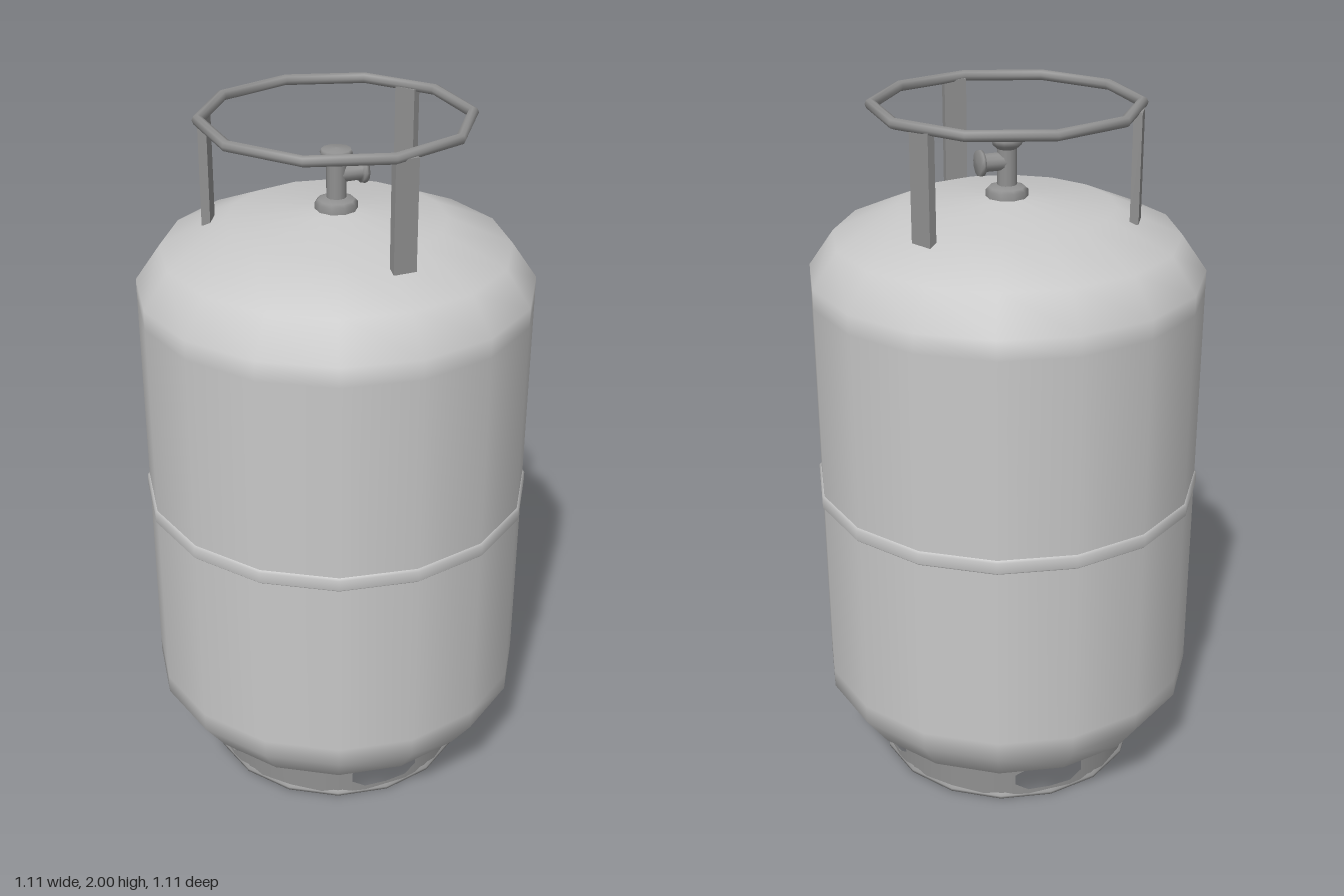
import * as THREE from 'three';

const bodyPaint = new THREE.MeshStandardMaterial({ color: 0xc8c8c8 });
bodyPaint.name = 'light grey paint';
const steel = new THREE.MeshStandardMaterial({ color: 0x909090 });
steel.name = 'grey steel';
const sheetSteel = new THREE.MeshStandardMaterial({ color: 0x909090, side: THREE.DoubleSide });
sheetSteel.name = 'grey steel sheet';

function add(parent, name, geometry, material) {
  const mesh = new THREE.Mesh(geometry, material);
  mesh.name = name;
  parent.add(mesh);
  return mesh;
}

// Profile points run [radius, height], bottom to top
const lathe = (points, sides) =>
  new THREE.LatheGeometry(points.map(([r, y]) => new THREE.Vector2(r, y)), sides);

// Round foot wall with four octagonal openings, built in vertical columns
function footWall(radius, height) {
  const mid = 0.062;
  // angle in degrees from the opening's centre, half height of the opening
  const columns = [[-45, 0], [-30, 0], [-16, 0.016], [-10, 0.038], [0, 0.038],
    [10, 0.038], [16, 0.016], [30, 0], [45, 0]];
  const positions = [], normals = [], index = [];
  const quad = (a0, a1, low0, low1, high0, high1) => {
    const n = positions.length / 3;
    for (const [a, y] of [[a0, low0], [a1, low1], [a1, high1], [a0, high0]]) {
      positions.push(radius * Math.sin(a), y, radius * Math.cos(a));
      normals.push(Math.sin(a), 0, Math.cos(a));
    }
    index.push(n, n + 1, n + 2, n, n + 2, n + 3);
  };
  for (let q = 0; q < 4; q++) {
    for (let i = 0; i < columns.length - 1; i++) {
      const [d0, g0] = columns[i], [d1, g1] = columns[i + 1];
      const a0 = THREE.MathUtils.degToRad(d0 + q * 90);
      const a1 = THREE.MathUtils.degToRad(d1 + q * 90);
      const open = g0 > 0 && g1 > 0;
      const h0 = open ? g0 : 0, h1 = open ? g1 : 0;
      quad(a0, a1, 0, 0, mid - h0, mid - h1);
      quad(a0, a1, mid + h0, mid + h1, height, height);
    }
  }
  const g = new THREE.BufferGeometry();
  g.setAttribute('position', new THREE.Float32BufferAttribute(positions, 3));
  g.setAttribute('normal', new THREE.Float32BufferAttribute(normals, 3));
  g.setIndex(index);
  return g;
}

export function createModel() {
  const model = new THREE.Group();
  model.name = 'gasCylinder';

  // Tank: domed ends mirrored about the middle
  const lower = [[0, 0.055], [0.3, 0.088], [0.48, 0.165], [0.55, 0.265], [0.55, 0.32]];
  const upper = lower.map(([r, y]) => [r, 1.795 - y]).reverse();
  add(model, 'tank', lathe([...lower, ...upper], 16), bodyPaint);

  // Weld band around the middle
  add(model, 'weldBand', lathe([[0.549, 0.868], [0.556, 0.875], [0.556, 0.905], [0.549, 0.912]], 16), bodyPaint);

  // Foot ring
  const foot = new THREE.Group();
  foot.name = 'foot';
  model.add(foot);
  add(foot, 'footWall', footWall(0.38, 0.13), sheetSteel);
  add(foot, 'footRim', lathe([[0.376, 0.012], [0.376, 0], [0.388, 0], [0.388, 0.008], [0.38, 0.014]], 16), sheetSteel);

  // Carrying ring on three flat legs
  const handle = new THREE.Group();
  handle.name = 'handle';
  model.add(handle);
  const ring = new THREE.TorusGeometry(0.36, 0.015, 8, 10);
  ring.rotateZ(Math.PI / 2).rotateX(Math.PI / 2);
  add(handle, 'handleRing', ring, steel).position.y = 1.985;
  [[0.033, 0.35], [0.29, -0.178], [-0.305, -0.172]].forEach(([x, z], i) => {
    const leg = add(handle, 'handleLeg', new THREE.BoxGeometry(0.064, 0.3, 0.024), steel);
    leg.position.set(x, 1.83, z);
    leg.rotation.y = i * Math.PI * 2 / 3;
  });

  // Valve: flange, stem and knob
  const valve = new THREE.Group();
  valve.name = 'valve';
  model.add(valve);
  add(valve, 'valveFlange', lathe([[0.058, 1.725], [0.058, 1.752], [0.05, 1.76], [0.027, 1.766], [0, 1.766]], 10), steel);
  add(valve, 'valveStem', lathe([[0.027, 1.76], [0.027, 1.875]], 12), steel);
  add(valve, 'valveKnob', lathe([[0.024, 1.862], [0.04, 1.876], [0.044, 1.888], [0.04, 1.898], [0, 1.902]], 12), steel);

  // Side outlet with its collar
  const outlet = lathe([[0.025, 0], [0.025, 0.066], [0.034, 0.068], [0.036, 0.075], [0.034, 0.084], [0, 0.086]], 12);
  outlet.rotateZ(-Math.PI / 2);
  add(valve, 'valveOutlet', outlet, steel).position.y = 1.83;

  return model;
}
